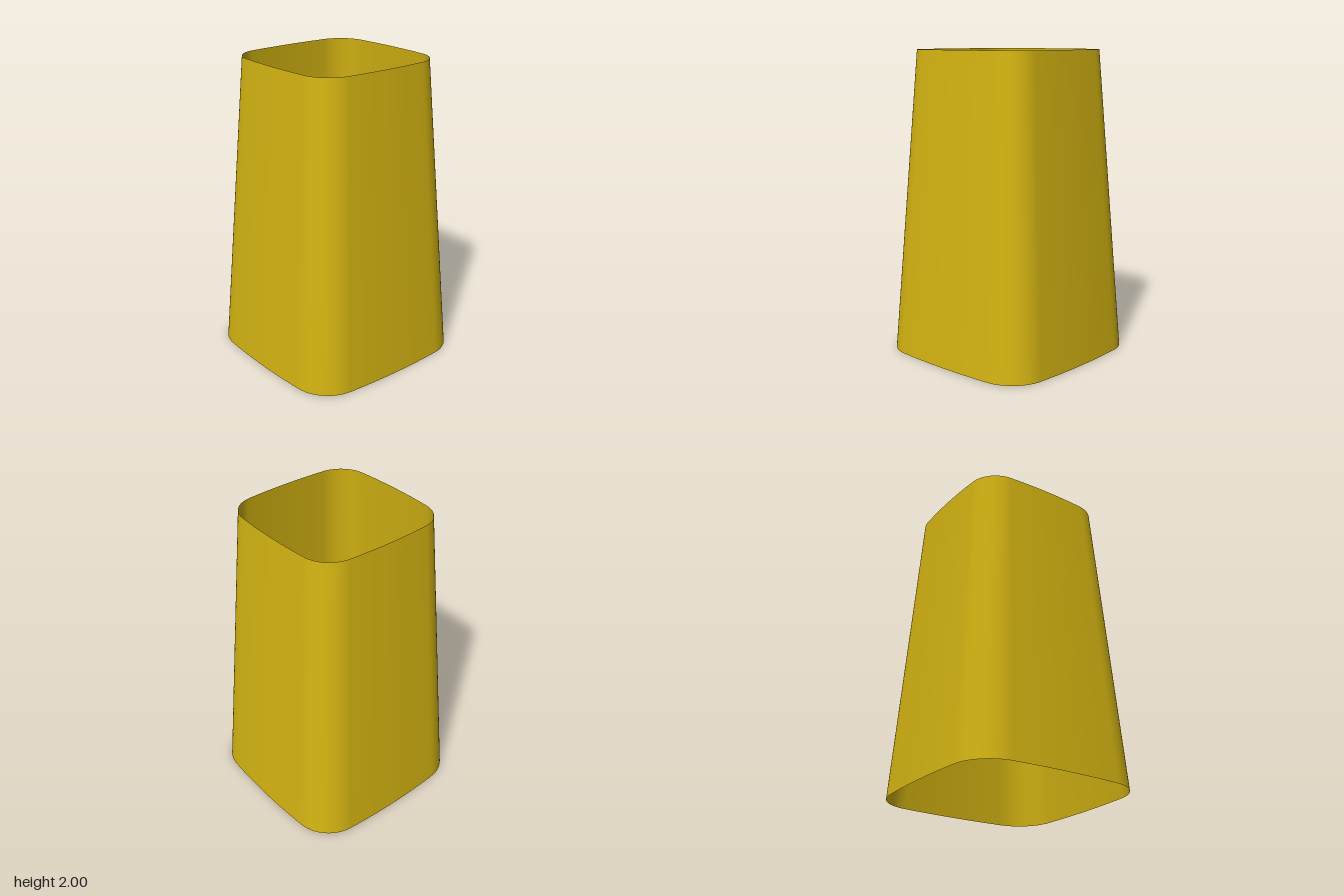
import * as THREE from 'three';

// Half-width at the bottom and top rims, and the height of the sleeve
const BASE = 0.63, TOP = 0.487, HEIGHT = 2;

// Rounded square with slightly bowed sides: one shallow side arc and one corner arc per quarter
function section() {
  const a = THREE.MathUtils.degToRad(4.5);
  const sideR = 0.38 / Math.sin(a);
  const sideC = BASE - sideR;
  const cornerR = (sideC + sideR * Math.cos(a) - 0.38) / (Math.cos(a) - Math.sin(a));
  const cornerC = 0.38 - cornerR * Math.sin(a);
  const points = [];
  const origin = new THREE.Vector2();
  const addArc = (cx, cz, r, from, to, steps, turn) => {
    for (let i = 0; i < steps; i++) {
      const t = from + (to - from) * i / steps;
      const p = new THREE.Vector2(cx + r * Math.cos(t), cz + r * Math.sin(t));
      points.push(p.rotateAround(origin, turn));
    }
  };
  for (let k = 0; k < 4; k++) {
    const turn = k * Math.PI / 2;
    addArc(sideC, 0, sideR, -a, a, 16, turn);
    addArc(cornerC, cornerC, cornerR, a, Math.PI / 2 - a, 20, turn);
  }
  return points;
}

// Open wall lofted between scaled copies of the section
function taperedWall(points, rows) {
  const n = points.length, position = [], index = [];
  for (let j = 0; j <= rows; j++) {
    const t = j / rows;
    const s = THREE.MathUtils.lerp(1, TOP / BASE, t);
    for (const p of points) position.push(p.x * s, t * HEIGHT, p.y * s);
  }
  for (let j = 0; j < rows; j++) {
    for (let i = 0; i < n; i++) {
      const b0 = j * n + i, b1 = j * n + (i + 1) % n;
      index.push(b0, b0 + n, b1, b1, b0 + n, b1 + n);
    }
  }
  const geometry = new THREE.BufferGeometry();
  geometry.setAttribute('position', new THREE.Float32BufferAttribute(position, 3));
  geometry.setIndex(index);
  geometry.computeVertexNormals();
  return geometry;
}

export function createModel() {
  const model = new THREE.Group();
  model.name = 'taperedSleeve';
  // Thin shell, open at both ends
  const material = new THREE.MeshStandardMaterial({ color: 0xd4b412, side: THREE.DoubleSide });
  const wall = new THREE.Mesh(taperedWall(section(), 4), material);
  wall.name = 'sleeveWall';
  model.add(wall);
  return model;
}
